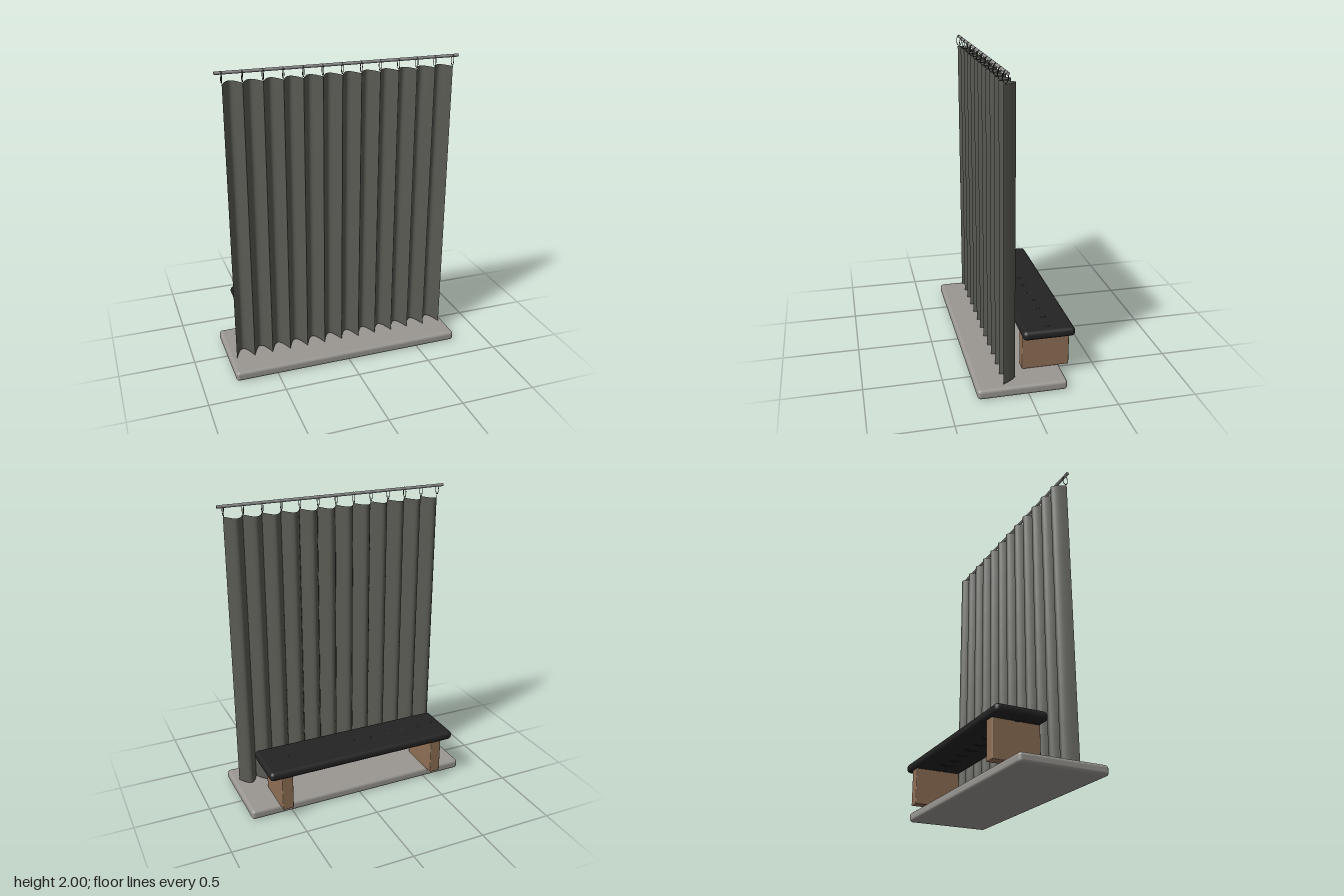
import * as THREE from 'three';
import { RoundedBoxGeometry } from 'three/addons/geometries/RoundedBoxGeometry.js';

const material = (name, color, side = THREE.FrontSide) => {
  const m = new THREE.MeshStandardMaterial({ color, side });
  m.name = name;
  return m;
};

export function createModel() {
  const stone = material('stone grey', 0x9a9792);
  const cloth = material('curtain grey', 0x5a5a54, THREE.DoubleSide);
  const metal = material('rail metal', 0x8e8e8e);
  const dark = material('cushion black', 0x232323);
  const wire = material('ring dark', 0x3a3a3a);
  const wood = material('wood brown', 0x8f7056);

  const model = new THREE.Group();
  model.name = 'curtainAndBench';
  const add = (parent, name, geometry, mat, x = 0, y = 0, z = 0) => {
    const mesh = new THREE.Mesh(geometry, mat);
    mesh.name = name;
    mesh.position.set(x, y, z);
    parent.add(mesh);
    return mesh;
  };
  const group = (name) => {
    const g = new THREE.Group();
    g.name = name;
    model.add(g);
    return g;
  };

  // Base slab
  add(model, 'base', new RoundedBoxGeometry(1.56, 0.065, 0.57, 4, 0.022), stone, 0, 0.0325, 0.037);

  // Curtain: rounded folds to the back, sharp creases at the front
  const folds = 12, halfWidth = 0.74, foldWidth = (2 * halfWidth) / folds;
  const top = 1.925, bottom = 0.069;
  const curtain = group('curtain');
  for (let i = 0; i < folds; i++) {
    const geo = new THREE.PlaneGeometry(foldWidth, 1, 16, 8);
    const p = geo.attributes.position;
    for (let k = 0; k < p.count; k++) {
      const bulge = Math.sin((p.getX(k) / foldWidth + 0.5) * Math.PI);
      const v = p.getY(k) + 0.5;
      const low = bottom + 0.011 * bulge; // hem lifts a little in each fold
      p.setY(k, low + (top - low) * v);
      p.setZ(k, 0.155 - (0.087 - 0.003 * v) * bulge);
    }
    geo.computeVertexNormals();
    add(curtain, 'curtainFold', geo, cloth, -halfWidth + (i + 0.5) * foldWidth);
  }

  // Rail
  const rail = add(model, 'rail', new THREE.CylinderGeometry(0.01, 0.01, 1.56, 16), metal, 0, 1.989, 0.14);
  rail.rotation.z = Math.PI / 2;

  // Oval ring standing in the YZ plane
  const ovalRing = (halfZ, halfY, tube) => {
    const path = new THREE.CatmullRomCurve3(
      Array.from({ length: 24 }, (_, i) => {
        const a = (i / 24) * Math.PI * 2;
        return new THREE.Vector3(0, halfY * Math.sin(a), halfZ * Math.cos(a));
      }), true);
    return new THREE.TubeGeometry(path, 36, tube, 6, true);
  };

  // Curtain rings, one at every crease
  const rings = group('curtainRings');
  const ringGeo = ovalRing(0.017, 0.034, 0.0025);
  for (let i = 0; i <= folds; i++) {
    add(rings, 'curtainRing', ringGeo, wire, -halfWidth + i * foldWidth, 1.9635, 0.145);
  }

  // Bench: cushion, two slab legs and a row of stitches through the cushion
  const bench = group('bench');
  add(bench, 'cushion', new RoundedBoxGeometry(1.34, 0.062, 0.338, 5, 0.028), dark, 0, 0.334, -0.158);
  for (const side of [-1, 1]) {
    add(bench, side > 0 ? 'leftLeg' : 'rightLeg',
      new RoundedBoxGeometry(0.075, 0.242, 0.308, 2, 0.006), wood, side * 0.55, 0.186, -0.155);
  }
  const stitchGeo = ovalRing(0.06, 0.035, 0.0025);
  for (let i = -5; i <= 5; i++) {
    add(bench, 'stitch', stitchGeo, wire, i * 0.121, 0.33, -0.158);
  }

  return model;
}
